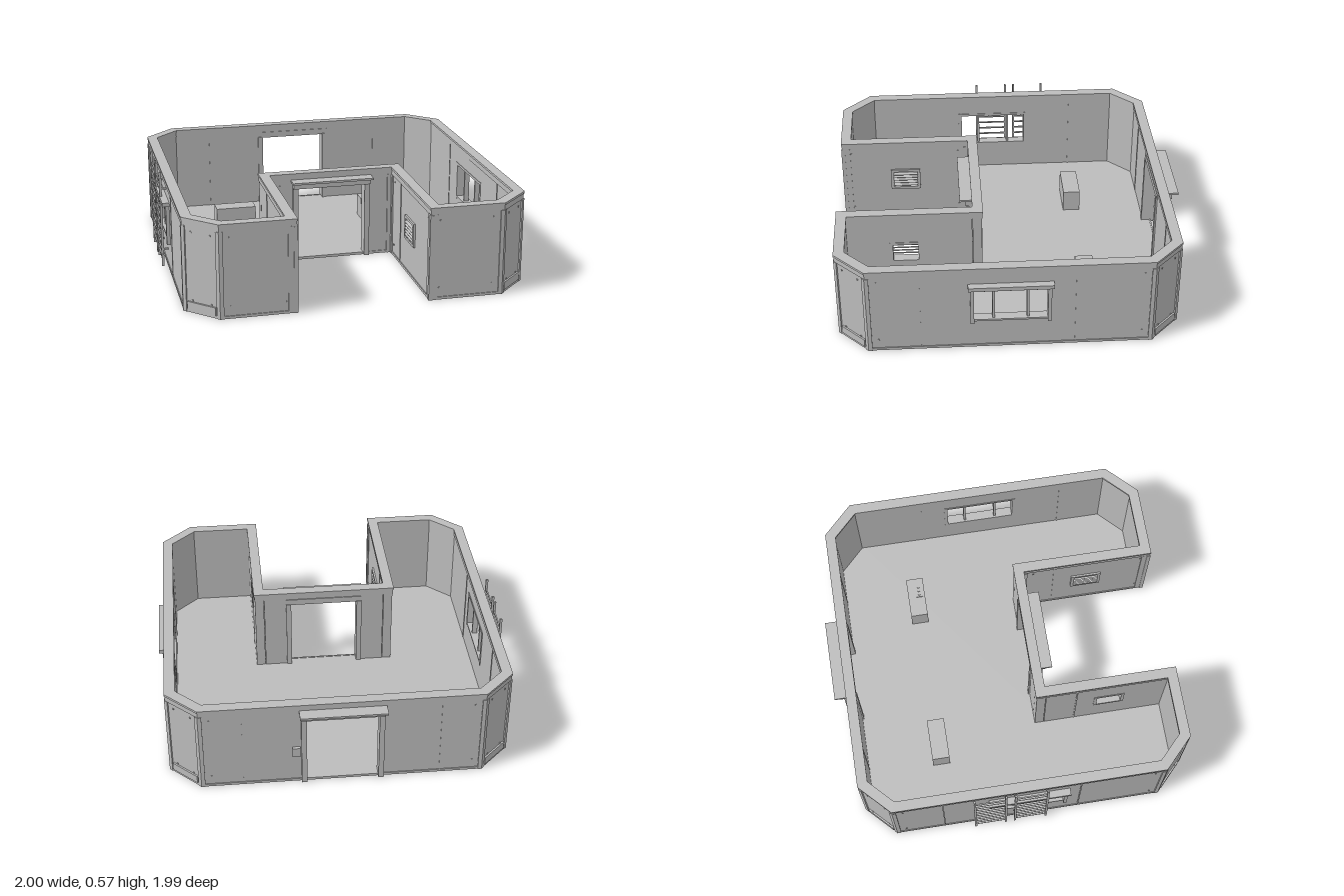
import * as THREE from 'three';

const OUTLINE = [ // x, z; starts on the front and runs around the building
  [0.365, 0.99], [0.79, 0.99], [0.965, 0.82], [0.965, -0.76], [0.79, -0.93], [-0.79, -0.93],
  [-0.965, -0.76], [-0.965, 0.82], [-0.79, 0.99], [-0.365, 0.99], [-0.365, 0.215], [0.365, 0.215],
];
const FEATURES = { 2: 'window', 6: 'window', 4: 'door', 10: 'door', 9: 'vent', 11: 'vent' };
const HOLES = { // half width, bottom, top
  door: [0.2, 0.012, 0.45], window: [0.205, 0.19, 0.395], vent: [0.075, 0.215, 0.325],
};
const SEAMS = { 2: [-0.5, 0.36], 6: [-0.5, 0.3], 4: [-0.55, 0.55], 9: [0.2], 11: [-0.2] };
const SKIN = 0.008, THICK = 0.045;

export function createModel() {
  const model = new THREE.Group();
  model.name = 'guardBuilding';
  const grey = new THREE.MeshStandardMaterial({ color: 0xbcbcbc });
  grey.name = 'plainGrey';

  const add = (parent, name, geometry) => {
    const mesh = new THREE.Mesh(geometry, grey);
    mesh.name = name;
    parent.add(mesh);
    return mesh;
  };
  // Box given by its limits on each axis
  const box = (parent, name, x0, x1, y0, y1, z0, z1) => {
    const mesh = add(parent, name, new THREE.BoxGeometry(x1 - x0, y1 - y0, z1 - z0));
    mesh.position.set((x0 + x1) / 2, (y0 + y1) / 2, (z0 + z1) / 2);
    return mesh;
  };
  const rectangle = (Type, x0, x1, y0, y1) => new Type([[x0, y0], [x1, y0], [x1, y1], [x0, y1]]
    .map(([x, y]) => new THREE.Vector2(x, y)));

  // Outline moved inward by d with mitred corners
  const normal = (i) => {
    const n = OUTLINE.length, p = OUTLINE[(i + n) % n], q = OUTLINE[(i + 1) % n];
    const l = Math.hypot(q[0] - p[0], q[1] - p[1]);
    return [-(q[1] - p[1]) / l, (q[0] - p[0]) / l];
  };
  const inset = (d) => OUTLINE.map(([x, z], i) => {
    const a = normal(i - 1), b = normal(i), k = d / (1 + a[0] * b[0] + a[1] * b[1]);
    return new THREE.Vector2(x - k * (a[0] + b[0]), -(z - k * (a[1] + b[1])));
  });
  const slab = (name, y0, y1, outer, inner) => {
    const shape = new THREE.Shape(inset(outer));
    if (inner) shape.holes.push(new THREE.Path(inset(inner)));
    const geometry = new THREE.ExtrudeGeometry(shape, { depth: y1 - y0, bevelEnabled: false });
    add(model, name, geometry.rotateX(-Math.PI / 2).translate(0, y0, 0));
  };

  slab('floor', 0, 0.012, 0.003);
  slab('capBand', 0.49, 0.522, 0.004, 0.056);
  slab('capTop', 0.522, 0.535, 0, 0.06);

  const door = (g) => {
    for (const s of [-1, 1]) {
      box(g, 'doorJamb', s * 0.215 - 0.015, s * 0.215 + 0.015, 0, 0.455, -0.062, 0.015);
    }
    box(g, 'doorHeader', -0.23, 0.23, 0.45, 0.486, -0.058, 0.033);
    box(g, 'doorCanopy', -0.24, 0.24, 0.485, 0.497, -0.01, 0.068);
    box(g, 'controlBox', -0.28, -0.235, 0.185, 0.243, -0.01, 0.01);
  };

  const windowFrame = (g) => {
    for (const s of [-1, 1]) {
      box(g, 'windowJamb', s * 0.213 - 0.01, s * 0.213 + 0.01, 0.172, 0.41, -0.056, 0.012);
      box(g, 'windowMullion', s * 0.095 - 0.007, s * 0.095 + 0.007, 0.188, 0.4, -0.045, -0.015);
    }
    box(g, 'windowHeader', -0.22, 0.22, 0.393, 0.408, -0.056, 0.015);
    box(g, 'windowCanopy', -0.235, 0.235, 0.407, 0.43, -0.01, 0.033);
    box(g, 'windowSill', -0.205, 0.205, 0.18, 0.191, -0.056, 0);
  };

  const vent = (g) => {
    for (const s of [-1, 1]) {
      box(g, 'ventSide', s * 0.082 - 0.009, s * 0.082 + 0.009, 0.2, 0.34, -0.056, 0.003);
      box(g, 'ventRail', -0.09, 0.09, 0.27 + s * 0.062 - 0.008, 0.27 + s * 0.062 + 0.008, -0.056, 0.003);
    }
    for (let i = 0; i < 5; i++) {
      const y = 0.232 + i * 0.019;
      box(g, 'ventLouver', -0.075, 0.075, y - 0.0015, y + 0.0015, -0.012, 0.008).rotation.x = 0.35;
    }
  };

  const ladder = (g, x0, x1) => {
    for (const x of [x0, x1]) {
      box(g, 'ladderRail', x - 0.006, x + 0.006, 0, 0.575, 0.018, 0.032);
      for (const y of [0.1, 0.47]) box(g, 'ladderBracket', x - 0.004, x + 0.004, y, y + 0.01, -0.01, 0.02);
    }
    for (let y = 0.045; y < 0.54; y += 0.042) {
      box(g, 'ladderRung', x0, x1, y - 0.004, y + 0.004, 0.021, 0.029);
    }
  };

  const builders = { door, window: windowFrame, vent };

  // One wall per outline edge: local x runs along it, local z points outward
  OUTLINE.forEach((p, i) => {
    const q = OUTLINE[(i + 1) % OUTLINE.length];
    const dx = q[0] - p[0], dz = q[1] - p[1], half = Math.hypot(dx, dz) / 2;
    const g = new THREE.Group();
    g.name = 'wallSection';
    g.position.set((p[0] + q[0]) / 2, 0, (p[1] + q[1]) / 2);
    g.rotation.y = Math.atan2(-dz, dx);
    model.add(g);

    const kind = FEATURES[i];
    const shape = rectangle(THREE.Shape, -half + 0.003, half - 0.003, 0.002, 0.495);
    if (kind) {
      const [w, y0, y1] = HOLES[kind];
      shape.holes.push(rectangle(THREE.Path, -w, w, y0, y1));
      builders[kind](g);
    }
    const panel = new THREE.ExtrudeGeometry(shape, { depth: THICK, bevelEnabled: false });
    add(g, 'wallPanel', panel.translate(0, 0, -SKIN - THICK));

    // Trim: corner strips, base strip, seams and rivets
    for (const s of [-1, 1]) {
      const x = s * (half - 0.011);
      box(g, 'cornerStrip', x - 0.011, x + 0.011, 0, 0.492, -0.012, 0);
      for (const y of [0.07, 0.46]) {
        const r = s * (half - 0.06);
        box(g, 'rivet', r - 0.004, r + 0.004, y - 0.004, y + 0.004, -0.01, -0.004);
      }
    }
    box(g, 'baseStrip', -half, half, 0, 0.015, -0.012, -0.003);
    for (const x of SEAMS[i] ?? []) {
      box(g, 'outerSeam', x - 0.004, x + 0.004, 0.015, 0.49, -0.01, -0.005);
      box(g, 'innerSeam', x - 0.004, x + 0.004, 0.012, 0.49, -0.056, -0.05);
    }
    if (i % 2 === 1 && i < 8) {
      box(g, 'kickPlate', -half * 0.76, half * 0.76, 0.016, 0.062, -0.01, 0.002);
    }
    if (i === 6) {
      ladder(g, -0.32, -0.14);
      ladder(g, -0.085, 0.1);
    }
  });

  // Posts in the two inner corners, and the equipment lockers
  for (const s of [-1, 1]) {
    const post = s * 0.3915;
    box(model, 'innerCornerPost', post - 0.0265, post + 0.0265, 0, 0.492, 0.162, 0.215);
    const x = s * 0.465;
    box(model, 'locker', x - 0.123, x + 0.123, 0.01, 0.145, -0.49, -0.387);
  }
  box(model, 'switchPlate', 0.462, 0.546, 0.145, 0.152, -0.442, -0.4);
  for (const x of [0.48, 0.504, 0.528]) {
    add(model, 'switchKnob', new THREE.CylinderGeometry(0.009, 0.009, 0.008, 12)).position.set(x, 0.154, -0.421);
  }
  return model;
}
